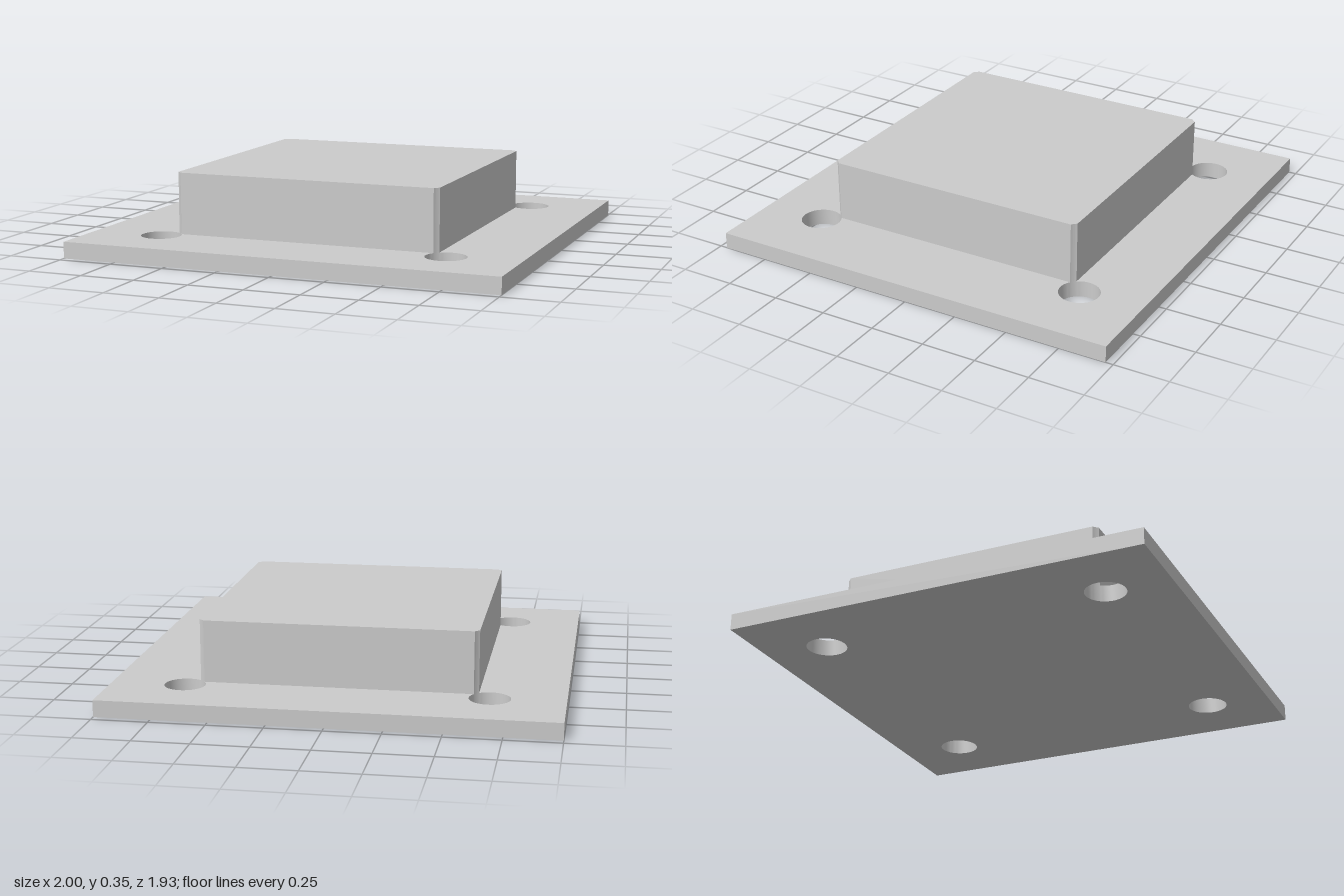
import * as THREE from 'three';
import { toCreasedNormals } from 'three/addons/utils/BufferGeometryUtils.js';

const HALF_X = 1, HALF_Z = 0.966;      // base plate
const PLATE_TOP = 0.075, BLOCK_TOP = 0.355;
const BLOCK_HALF = 0.618;              // raised block
const HOLE_POS = 0.671, HOLE_R = 0.091; // corner bolt holes

// Extrude a plan outline upward from y0 to y1
function slab(shape, y0, y1) {
  const geo = new THREE.ExtrudeGeometry(shape, {
    depth: y1 - y0, bevelEnabled: false, curveSegments: 32,
  });
  geo.rotateX(-Math.PI / 2).translate(0, y0, 0);
  return toCreasedNormals(geo, 0.6);
}

export function createModel() {
  const group = new THREE.Group();
  group.name = 'mountingBlock';
  const material = new THREE.MeshStandardMaterial({ color: 0xcccccc });

  // Base plate with four round holes
  const plate = new THREE.Shape();
  plate.moveTo(-HALF_X, -HALF_Z);
  plate.lineTo(HALF_X, -HALF_Z);
  plate.lineTo(HALF_X, HALF_Z);
  plate.lineTo(-HALF_X, HALF_Z);
  plate.closePath();
  for (const sx of [-1, 1]) {
    for (const sz of [-1, 1]) {
      const hole = new THREE.Path();
      hole.absarc(sx * HOLE_POS, sz * HOLE_POS, HOLE_R, 0, Math.PI * 2, true);
      plate.holes.push(hole);
    }
  }
  const basePlate = new THREE.Mesh(slab(plate, 0, PLATE_TOP), material);
  basePlate.name = 'basePlate';
  group.add(basePlate);

  // Raised block, its corners notched where the holes pass
  const block = new THREE.Shape();
  const a = Math.acos((HOLE_POS - BLOCK_HALF) / HOLE_R);
  for (let i = 0; i < 4; i++) {
    const turn = i * Math.PI / 2;
    const diag = turn + Math.PI / 4;
    const d = HOLE_POS * Math.SQRT2;
    block.absarc(d * Math.cos(diag), d * Math.sin(diag), HOLE_R,
      turn + Math.PI + a, turn + 1.5 * Math.PI - a, true);
  }
  block.closePath();
  const raisedBlock = new THREE.Mesh(slab(block, PLATE_TOP, BLOCK_TOP), material);
  raisedBlock.name = 'raisedBlock';
  group.add(raisedBlock);

  return group;
}
